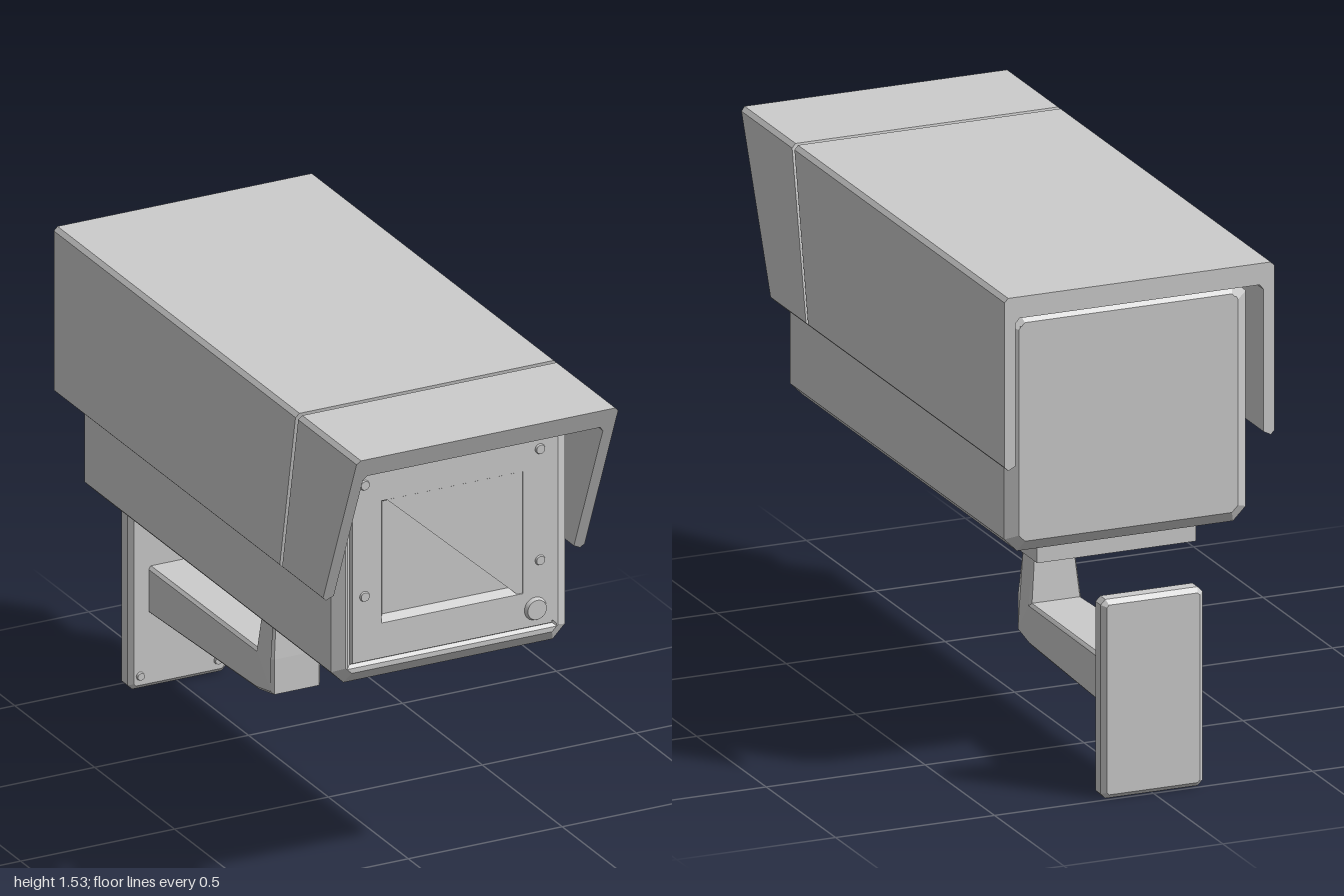
import * as THREE from 'three';

const material = new THREE.MeshStandardMaterial({ color: 0xcccccc, side: THREE.DoubleSide });
const points = (list) => list.map(([x, y]) => new THREE.Vector2(x, y));
const polygon = (list) => new THREE.Shape(points(list));

// Rectangle outline with cut corners
function cutRect(x0, x1, y0, y1, c) {
  return [[x0 + c, y0], [x1 - c, y0], [x1, y0 + c], [x1, y1 - c],
    [x1 - c, y1], [x0 + c, y1], [x0, y1 - c], [x0, y0 + c]];
}
const rect = (x0, x1, y0, y1) => [[x0, y0], [x1, y0], [x1, y1], [x0, y1]];

// Extrusion between z0 and z1; the chamfer stays inside the outline
function extrude(shape, z0, z1, size = 0, thick = size) {
  const geo = new THREE.ExtrudeGeometry(shape, {
    depth: z1 - z0 - 2 * thick, bevelEnabled: size > 0, bevelSegments: 1,
    bevelSize: size, bevelOffset: -size, bevelThickness: thick,
  });
  return geo.translate(0, 0, z0 + thick);
}

// Moves every vertex by a rule and refreshes the normals
function reshape(geo, rule) {
  const p = geo.attributes.position;
  const v = new THREE.Vector3();
  for (let i = 0; i < p.count; i++) {
    rule(v.fromBufferAttribute(p, i));
    p.setXYZ(i, v.x, v.y, v.z);
  }
  geo.computeVertexNormals();
  return geo;
}

export function createModel() {
  const model = new THREE.Group();
  const add = (name, geo, x = 0, y = 0, z = 0) => {
    const mesh = new THREE.Mesh(geo, material);
    mesh.name = name;
    mesh.position.set(x, y, z);
    model.add(mesh);
    return mesh;
  };
  const box = (name, x0, x1, y0, y1, z0, z1) => add(name,
    new THREE.BoxGeometry(x1 - x0, y1 - y0, z1 - z0), (x0 + x1) / 2, (y0 + y1) / 2, (z0 + z1) / 2);
  const stud = (name, r, depth, x, y, z) => add(name,
    new THREE.CylinderGeometry(r * 0.85, r, depth, 20).rotateX(Math.PI / 2), x, y, z + depth / 2);

  // Camera housing: chamfered shell, closed at the back by the core
  const shell = polygon(cutRect(-0.38, 0.38, 0.72, 1.455, 0.04));
  shell.holes.push(new THREE.Path(points(rect(-0.305, 0.305, 0.805, 1.375))));
  add('housing', extrude(shell, -0.82, 0.773, 0.035, 0.025));
  box('housingCore', -0.34, 0.34, 0.77, 1.41, -0.82, 0.6);

  // Front panel with a sunken window
  const panel = polygon(rect(-0.338, 0.338, 0.772, 1.408));
  panel.holes.push(new THREE.Path(points(rect(-0.216, 0.216, 0.909, 1.266))));
  add('frontPanel', extrude(panel, 0.6, 0.775, 0.014, 0.025));
  box('window', -0.23, 0.23, 0.89, 1.28, 0.6, 0.745);
  for (const x of [-0.285, 0.285])
    for (const y of [0.99, 1.34]) stud('panelScrew', 0.016, 0.006, x, y, 0.775);
  stud('statusButton', 0.036, 0.012, 0.27, 0.84, 0.775);

  // Sunshield: a U section in two pieces, its ends sloping with height
  const section = (d) => {
    const w = 0.425 - d, c = 0.012, t = 1.53 - d, b = 1.005 + d;
    return polygon([[w - c, b], [w, b + c], [w, t - c], [w - c, t], [c - w, t], [-w, t - c],
      [-w, b + c], [c - w, b], [-0.39, b + c], [-0.39, 1.45], [-0.378, 1.465],
      [0.378, 1.465], [0.39, 1.45], [0.39, b + c]]);
  };
  const shield = (name, inset, back, front) => add(name,
    reshape(extrude(section(inset), 0, 1), (v) => {
      const k = (v.y - 1.005) / 0.525;
      const z0 = back[0] + (back[1] - back[0]) * k;
      const z1 = front[0] + (front[1] - front[0]) * k;
      v.z = z0 + (z1 - z0) * v.z;
    }));
  shield('rearSunshield', 0, [-0.9, -0.9], [0.512, 0.615]);
  shield('shieldJoint', 0.01, [0.48, 0.58], [0.56, 0.66]);
  shield('frontVisor', 0, [0.527, 0.632], [0.78, 1.0]);

  // Mounting base under the housing
  box('mountingBase', -0.25, 0.25, 0.652, 0.73, -0.735, 0);
  const bracket = polygon([[-0.108, 0.612], [0.108, 0.612], [0.127, 0.655], [-0.127, 0.655]]);
  add('bracket', reshape(extrude(bracket, -0.55, -0.19), (v) => {
    if (v.y < 0.63 && v.z > -0.3) v.y += 0.008;
  }));
  box('pivotPlate', -0.08, 0.08, 0.592, 0.622, -0.298, -0.21);

  // Swivel joint
  const profile = [[0, 0.5], [0.045, 0.515], [0.04, 0.535], [0.024, 0.545], [0.032, 0.558],
    [0.03, 0.572], [0.018, 0.585], [0.018, 0.6]];
  add('swivelJoint', new THREE.LatheGeometry(points(profile), 24), 0, 0, -0.252);
  const collar = add('jointCollar',
    new THREE.CylinderGeometry(0.03, 0.06, 0.045, 16), 0, 0.547, -0.252);
  collar.scale.z = 0.5;

  // Bent arm, widening towards the wall and narrowing up the post
  const arm = polygon([[-0.94, 0.233], [-0.29, 0.243], [-0.198, 0.26], [-0.198, 0.37],
    [-0.207, 0.522], [-0.285, 0.522], [-0.298, 0.372], [-0.94, 0.383]]);
  const armGeo = extrude(arm, -0.1, 0.1, 0.009).rotateY(-Math.PI / 2);
  add('arm', reshape(armGeo, (v) => {
    v.x *= v.y > 0.42 ? 0.67 : 0.8 + 0.27 * (-0.2 - v.z);
  }));

  // Wall plate and its bolts
  add('wallPlate', extrude(polygon(cutRect(-0.16, 0.16, 0, 0.605, 0.015)), -1, -0.935, 0.014));
  for (const x of [-0.126, 0.126])
    for (const y of [0.043, 0.562]) stud('wallBolt', 0.013, 0.008, x, y, -0.935);

  return model;
}
